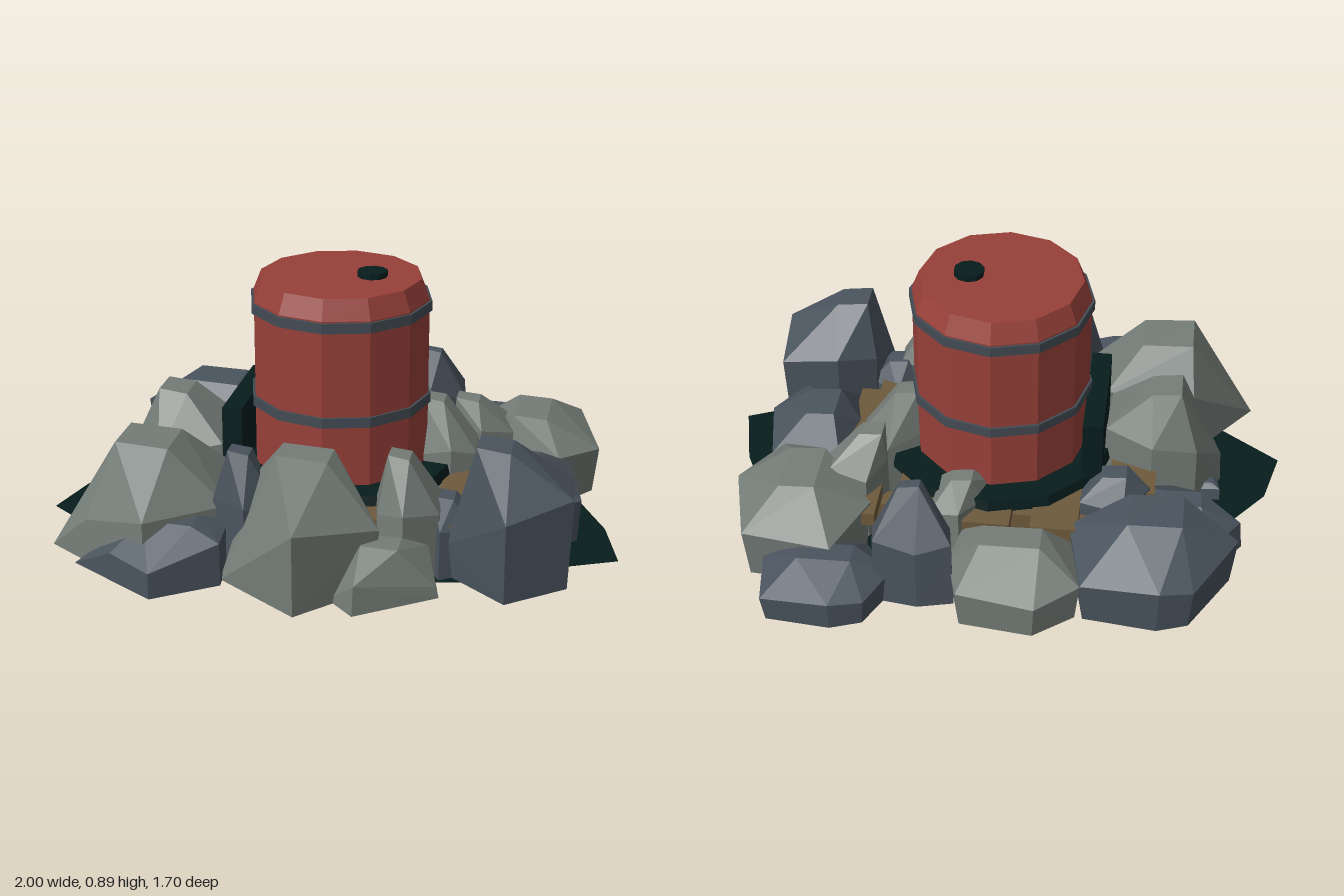
import * as THREE from 'three';
import { ConvexGeometry } from 'three/addons/geometries/ConvexGeometry.js';

const paint = (name, color) => {
  const m = new THREE.MeshStandardMaterial({ color });
  m.name = name;
  m.flatShading = true;
  return m;
};

export function createModel() {
  const model = new THREE.Group();
  model.name = 'barrelInRocks';

  const red = paint('barrel red', 0x984039);
  const steel = paint('band steel', 0x434b53);
  const pale = paint('pale stone', 0x757d78);
  const slate = paint('slate stone', 0x4a545e);
  const dark = paint('dark green', 0x081d1d);
  const wood = paint('wood', 0x6e5a3c);
  dark.side = THREE.DoubleSide;

  const add = (name, geometry, material, x = 0, y = 0, z = 0, parent = model) => {
    const mesh = new THREE.Mesh(geometry, material);
    mesh.name = name;
    mesh.position.set(x, y, z);
    parent.add(mesh);
    return mesh;
  };

  // Ground plate: irregular flat polygon
  const plate = new THREE.Shape([
    [-1, 0.21], [-0.95, 0], [-0.72, -0.3], [-0.5, -0.55], [0, -0.62], [0.5, -0.58], [0.8, -0.28],
    [0.94, 0], [1, 0.24], [0.8, 0.33], [0.5, 0.5], [0, 0.6], [-0.5, 0.55], [-0.8, 0.36],
  ].map(([x, z]) => new THREE.Vector2(x, -z)));
  add('groundPlate', new THREE.ShapeGeometry(plate), dark).rotation.x = -Math.PI / 2;

  // Wooden pallet: raised deck boards over two stringers
  const pallet = new THREE.Group();
  pallet.name = 'pallet';
  model.add(pallet);
  for (const [x, w] of [[-0.23, 0.16], [0, 0.16], [0.23, 0.18], [0.43, 0.1]])
    add('deckBoard', new THREE.BoxGeometry(w, 0.05, 0.93), wood, x, 0.155, -0.005, pallet);
  for (const x of [-0.48, 0.47])
    add('deckSide', new THREE.BoxGeometry(0.16, 0.045, 0.48), wood, x, 0.15, 0, pallet);
  for (const z of [-0.32, 0.32])
    add('stringer', new THREE.BoxGeometry(1.04, 0.13, 0.07), wood, 0, 0.065, z, pallet);

  // Barrel in a dark collar that rests on the deck
  add('barrelCollar', new THREE.CylinderGeometry(0.4, 0.41, 0.04, 12), dark, 0, 0.195, 0);
  add('barrelBody', new THREE.CylinderGeometry(0.308, 0.308, 0.8, 12), red, 0, 0.4, 0);
  add('barrelShoulder', new THREE.CylinderGeometry(0.28, 0.308, 0.07, 12), red, 0, 0.835, 0);
  for (const y of [0.445, 0.778])
    add('barrelBand', new THREE.CylinderGeometry(0.317, 0.317, 0.035, 12), steel, 0, y, 0);
  add('barrelCap', new THREE.CylinderGeometry(0.052, 0.052, 0.03, 10), dark, 0.11, 0.875, 0);

  // Upright panel beside the barrel
  add('sidePanel', new THREE.BoxGeometry(0.07, 0.23, 0.43), dark, -0.338, 0.315, -0.005);

  // Faceted rock: base ring, shoulder ring and a small flat crown, joined as a hull.
  // An outline point may carry its own shoulder height; zero leaves a straight slope.
  const rocks = new THREE.Group();
  rocks.name = 'rocks';
  model.add(rocks);
  const rock = (material, outline, height, shoulder, crown, base = 1, waist = 0.85) => {
    const cx = outline.reduce((s, p) => s + p[0], 0) / outline.length;
    const cz = outline.reduce((s, p) => s + p[1], 0) / outline.length;
    const [x0, z0, x1, z1] = crown;
    const points = [];
    outline.forEach(([x, z, own], i) => {
      const ring = (k, y) => points.push(new THREE.Vector3(cx + (x - cx) * k, y, cz + (z - cz) * k));
      ring(base, 0);
      const y = own ?? shoulder * (i % 2 ? 0.94 : 1.06);
      if (y > 0) ring(waist, y);
    });
    [[x0, z0, 1], [x1, z0, 0.98], [x1, z1, 0.97], [x0, z1, 1]]
      .forEach(([x, z, k]) => points.push(new THREE.Vector3(x, height * k, z)));
    add('rock', new ConvexGeometry(points), material, 0, 0, 0, rocks);
  };

  // Large rocks at the back
  rock(slate, [[-0.85, -0.45], [-0.71, -0.7], [-0.6, -0.74], [-0.34, -0.71], [-0.28, -0.43], [-0.44, -0.29]],
    0.29, 0.16, [-0.66, -0.54, -0.48, -0.38], 0.94, 1);
  rock(pale, [[-0.34, -0.7], [-0.2, -0.81], [0.06, -0.78], [0.11, -0.6], [0.08, -0.46], [-0.3, -0.47]],
    0.23, 0.13, [-0.2, -0.63, 0, -0.53], 0.94, 1);
  rock(slate, [[0.29, -0.66], [0.36, -0.81], [0.47, -0.85], [0.7, -0.83], [0.73, -0.64], [0.4, -0.52]],
    0.17, 0.1, [0.42, -0.7, 0.6, -0.62], 0.94, 1);

  // Large rocks on the left side
  rock(pale, [[0.4, -0.42], [0.5, -0.65], [0.8, -0.63], [0.89, -0.31], [0.76, -0.14], [0.55, -0.25]],
    0.29, 0.18, [0.58, -0.48, 0.7, -0.27], 0.92, 1);
  rock(slate, [[0.52, 0.05], [0.56, -0.16], [0.8, -0.17], [0.86, 0.11], [0.76, 0.24], [0.55, 0.22]],
    0.26, 0.16, [0.6, -0.04, 0.7, 0.11], 0.95, 1);
  rock(slate, [[0.45, 0.47, 0.12], [0.5, 0.28], [0.63, 0.2], [0.84, 0.22], [0.86, 0.48], [0.66, 0.64]],
    0.47, 0.3, [0.54, 0.36, 0.65, 0.47], 0.94, 1);

  // Large rocks at the front
  rock(pale, [[-0.28, 0.64, 0], [-0.2, 0.46, 0.3], [-0.1, 0.38], [0.13, 0.38], [0.25, 0.6, 0.21], [0.02, 0.85, 0.28]],
    0.42, 0.27, [-0.1, 0.44, 0.07, 0.55], 0.97, 1);
  rock(pale, [[0.1, 0.7, 0], [0.2, 0.8, 0.1], [0.45, 0.62, 0.04], [0.4, 0.48], [0.18, 0.5]],
    0.18, 0.13, [0.2, 0.57, 0.32, 0.66], 1, 0.95);
  rock(pale, [[-0.9, 0.5, 0], [-0.68, 0.21, 0.25], [-0.35, 0.21, 0.25], [-0.27, 0.5, 0.2], [-0.5, 0.74, 0.22], [-0.75, 0.6, 0.15]],
    0.4, 0.25, [-0.66, 0.33, -0.48, 0.5], 1, 0.96);
  rock(slate, [[-0.78, 0.62, 0], [-0.62, 0.72, 0.1], [-0.46, 0.82, 0.09], [-0.26, 0.68, 0.15], [-0.28, 0.48, 0.15], [-0.6, 0.45, 0.1]],
    0.2, 0.13, [-0.52, 0.55, -0.36, 0.66], 1, 1);

  // Large rocks on the right side
  rock(pale, [[-0.79, 0.08, 0.12], [-0.7, -0.08], [-0.54, -0.12], [-0.37, -0.06, 0.3], [-0.38, 0.18, 0.28], [-0.6, 0.25]],
    0.44, 0.25, [-0.63, -0.02, -0.53, 0.1], 1, 0.97);
  rock(slate, [[-0.87, -0.28], [-0.78, -0.4], [-0.55, -0.37], [-0.48, -0.1], [-0.62, -0.1]],
    0.19, 0.1, [-0.72, -0.31, -0.6, -0.23], 1, 0.95);
  rock(slate, [[-0.55, -0.22], [-0.46, -0.35], [-0.3, -0.33], [-0.3, -0.14], [-0.45, -0.1]],
    0.25, 0.17, [-0.46, -0.26, -0.38, -0.19], 1, 0.95);

  // Rubble around the barrel
  rock(slate, [[0.08, -0.68], [0.2, -0.71], [0.35, -0.69], [0.37, -0.58], [0.24, -0.46], [0.1, -0.56]],
    0.42, 0.24, [0.2, -0.59, 0.27, -0.55], 1, 0.96);
  rock(pale, [[0.36, -0.28], [0.42, -0.38], [0.56, -0.36], [0.59, -0.24], [0.48, -0.15], [0.38, -0.18]],
    0.37, 0.25, [0.38, -0.27, 0.46, -0.2], 1, 0.95);
  rock(pale, [[0.26, -0.12], [0.38, -0.2], [0.48, -0.12], [0.49, -0.02], [0.4, 0.05], [0.28, 0.03]],
    0.43, 0.25, [0.28, -0.1, 0.36, -0.03], 1, 0.95);
  rock(pale, [[0, -0.27], [0.02, -0.36], [0.09, -0.48], [0.2, -0.46], [0.18, -0.27]],
    0.27, 0.2, [0.06, -0.36, 0.13, -0.3], 1, 0.97);
  rock(pale, [[0.2, 0.4], [0.28, 0.29], [0.42, 0.33], [0.43, 0.46], [0.32, 0.57], [0.22, 0.5]],
    0.41, 0.23, [0.25, 0.38, 0.32, 0.45], 1, 0.95);
  rock(slate, [[0.33, 0.33], [0.42, 0.25], [0.53, 0.3], [0.53, 0.43], [0.43, 0.5]],
    0.25, 0.16, [0.39, 0.32, 0.46, 0.39], 1, 0.95);
  rock(slate, [[-0.33, 0.52], [-0.27, 0.42], [-0.15, 0.41], [-0.1, 0.5], [-0.2, 0.6]],
    0.41, 0.22, [-0.27, 0.46, -0.2, 0.52], 1, 0.95);
  rock(slate, [[-0.79, -0.04], [-0.7, -0.04], [-0.68, 0.03], [-0.78, 0.03]],
    0.06, 0.045, [-0.76, -0.02, -0.72, 0.01], 1, 0.95);

  return model;
}
